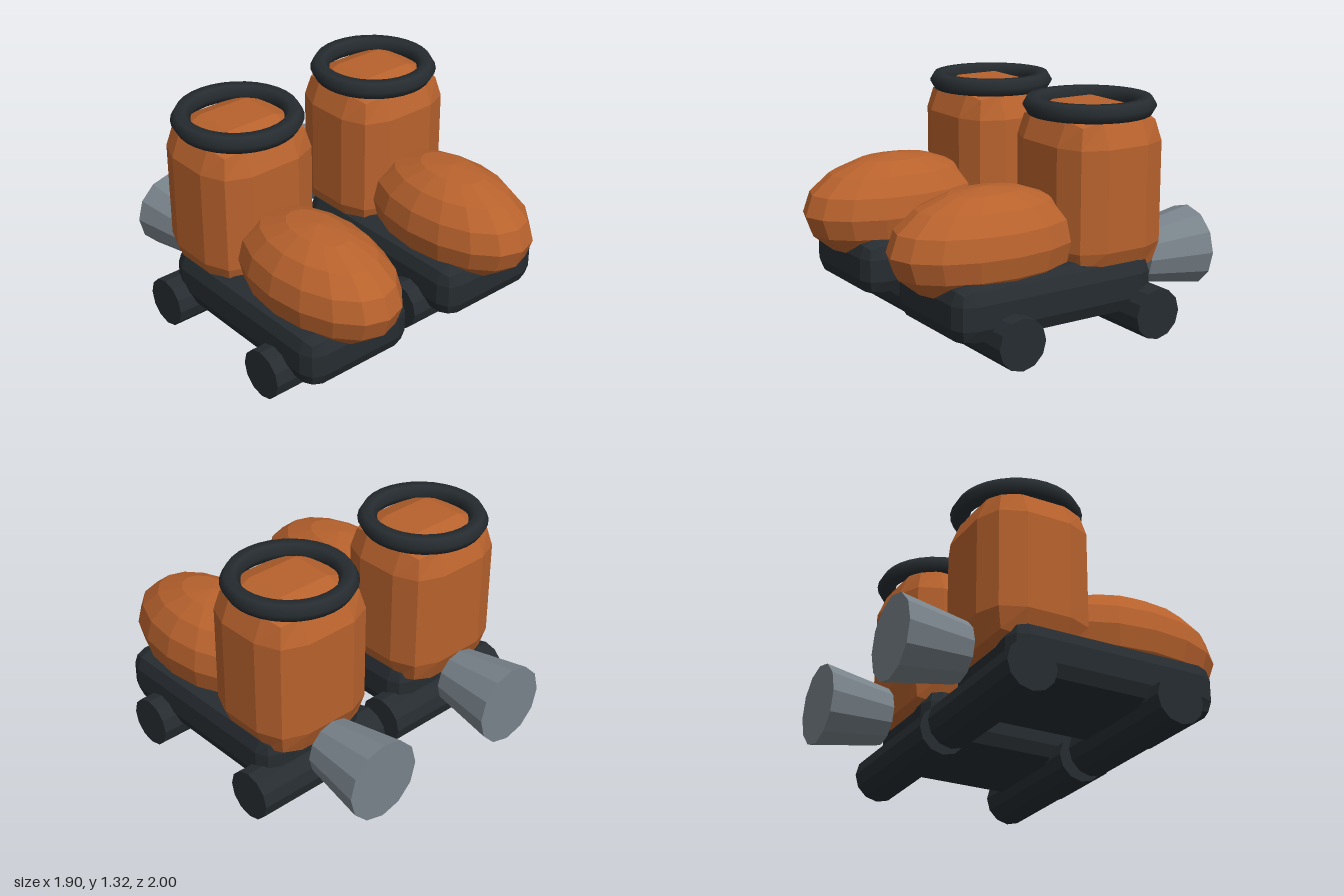
import * as THREE from 'three';
import { RoundedBoxGeometry } from 'three/addons/geometries/RoundedBoxGeometry.js';

const orange = new THREE.MeshStandardMaterial({ color: 0xb8622d, flatShading: true });
const dark = new THREE.MeshStandardMaterial({ color: 0x262c30, flatShading: true });
const rubber = new THREE.MeshStandardMaterial({ color: 0x262c30 });
const metal = new THREE.MeshStandardMaterial({ color: 0x78828a, flatShading: true });

function part(parent, name, geometry, material, x, y, z) {
  const mesh = new THREE.Mesh(geometry, material);
  mesh.name = name;
  mesh.position.set(x, y, z);
  parent.add(mesh);
  return mesh;
}

function createSkate(name) {
  const skate = new THREE.Group();
  skate.name = name;

  // Thick sole with bevelled edges
  part(skate, 'sole', new RoundedBoxGeometry(0.72, 0.33, 1.27, 1, 0.1), dark, 0, 0.297, 0.16);

  // Upright boot shaft
  part(skate, 'shaft', new RoundedBoxGeometry(0.72, 0.97, 0.66, 1, 0.2), orange, 0, 0.798, -0.263);

  // Rounded toe: a faceted ellipsoid
  part(skate, 'toe', new THREE.SphereGeometry(1, 16, 8).scale(0.34, 0.315, 0.58), orange, 0, 0.58, 0.42);

  // Ring around the opening
  part(skate, 'collar', new THREE.TorusGeometry(0.315, 0.056, 6, 32).rotateX(Math.PI / 2), rubber, 0, 1.267, -0.265);

  // Wheel rollers spanning the width of the skate
  const roller = new THREE.CylinderGeometry(0.145, 0.145, 0.9, 12).rotateZ(Math.PI / 2);
  part(skate, 'frontRoller', roller, dark, 0, 0.145, 0.475);
  part(skate, 'rearRoller', roller, dark, 0, 0.145, -0.42);

  // Flared thruster nozzle behind the heel
  const nozzle = new THREE.CylinderGeometry(0.17, 0.238, 0.4, 12).rotateX(Math.PI / 2);
  part(skate, 'nozzle', nozzle, metal, 0, 0.35, -0.8);

  return skate;
}

export function createModel() {
  const model = new THREE.Group();
  model.name = 'rocketSkates';
  for (const [name, x] of [['leftSkate', 0.5], ['rightSkate', -0.5]]) {
    const skate = createSkate(name);
    skate.position.x = x;
    model.add(skate);
  }
  return model;
}
